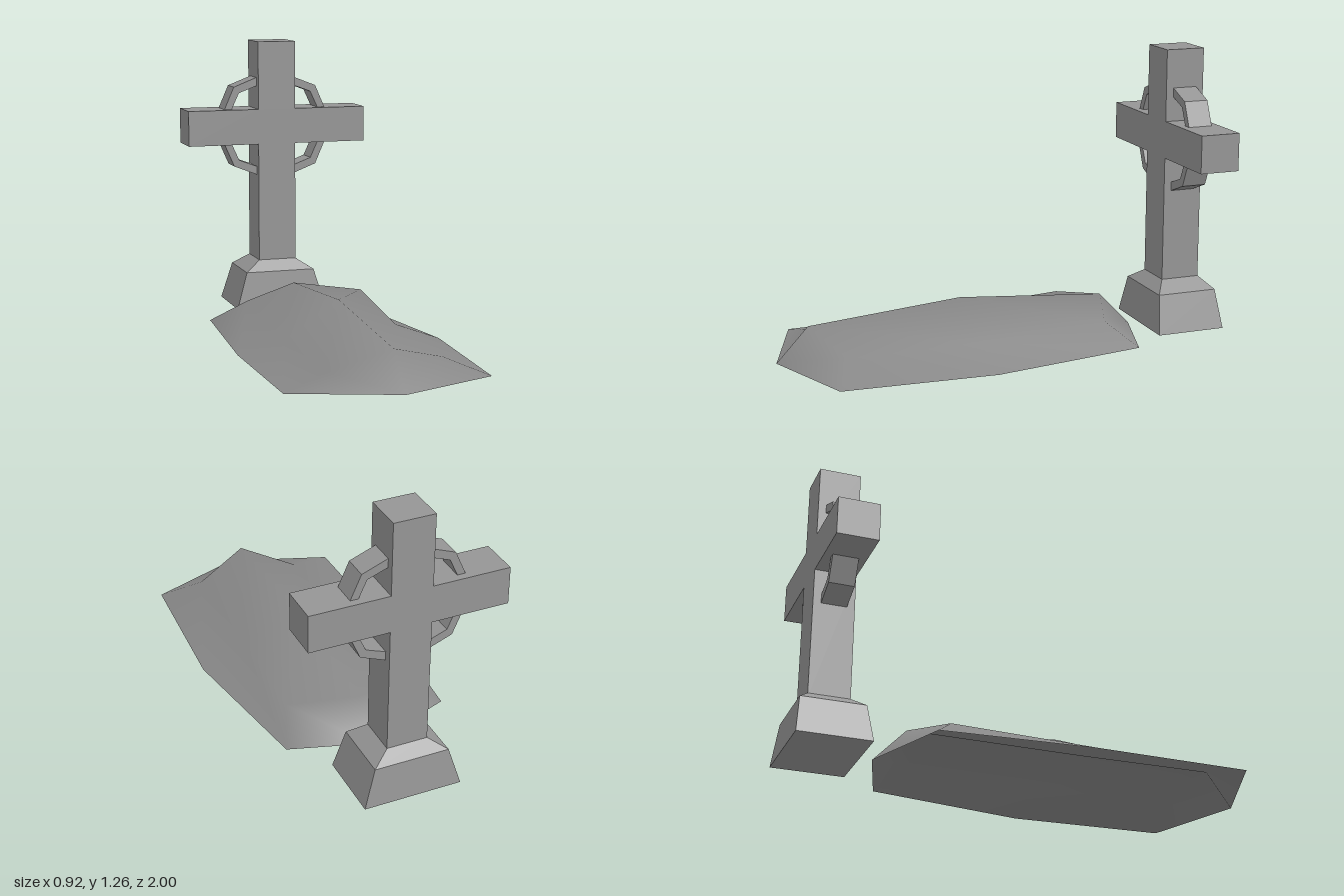
import * as THREE from 'three';

const CX = -0.008, CZ = -0.8425; // axis of the cross
const stone = new THREE.MeshStandardMaterial({ color: 0x959595 });
const earth = new THREE.MeshStandardMaterial({ color: 0x888888, side: THREE.DoubleSide });

function part(name, geometry, material) {
  const mesh = new THREE.Mesh(geometry, material);
  mesh.name = name;
  return mesh;
}

// Indexed surface from [x, y, z] points, smooth across shared points
function surface(points, index) {
  const geometry = new THREE.BufferGeometry();
  geometry.setAttribute('position', new THREE.Float32BufferAttribute(points.flat(), 3));
  geometry.setIndex(index);
  geometry.computeVertexNormals();
  return geometry;
}

// Upright slab centred on the cross plane
function slab(shape, depth) {
  const geometry = new THREE.ExtrudeGeometry(shape, { depth, bevelEnabled: false });
  geometry.translate(CX, 0, CZ - depth / 2);
  return geometry;
}

function octagon(rx, ry, cy) {
  return Array.from({ length: 8 }, (_, i) => new THREE.Vector2(
    rx * Math.cos(i * Math.PI / 4), cy + ry * Math.sin(i * Math.PI / 4)));
}

// Stepped plinth: rectangular levels of [y, half width, half depth], hard edges
function plinthGeometry() {
  const levels = [[0, 0.216, 0.1575], [0.17, 0.165, 0.138], [0.22, 0.088, 0.088]];
  const points = [], index = [];
  for (const [y, w, d] of levels) {
    points.push([CX - w, y, CZ + d], [CX + w, y, CZ + d], [CX + w, y, CZ - d], [CX - w, y, CZ - d]);
  }
  for (let i = 0; i < levels.length - 1; i++) {
    for (let j = 0; j < 4; j++) {
      const a = i * 4 + j, b = i * 4 + (j + 1) % 4;
      index.push(a, b, b + 4, a, b + 4, a + 4);
    }
  }
  index.push(8, 9, 10, 8, 10, 11, 0, 2, 1, 0, 3, 2);
  const geometry = surface(points, index).toNonIndexed();
  geometry.computeVertexNormals();
  return geometry;
}

// Open shell of earth: cross-sections from back to front, a pointed tip at each end
function moundGeometry() {
  const ground = 0.006;
  const sections = [
    [[-0.41, ground, -0.48], [-0.26, 0.107, -0.38], [CX, 0.155, -0.487], [0.285, 0.125, -0.38], [0.345, ground, -0.52]],
    [[-0.46, ground, 0.2], [-0.25, 0.05, 0.18], [CX, 0.21, 0.18], [0.25, 0.085, 0.18], [0.456, ground, 0.17]],
    [[-0.45, ground, 0.84], [-0.25, 0.055, 0.76], [CX, 0.155, 0.86], [0.24, 0.08, 0.76], [0.418, ground, 0.84]],
  ];
  const tips = [[CX, ground, -0.63], [CX, ground, 1]];
  const index = [];
  for (let i = 0; i < 2; i++) {
    for (let j = 0; j < 4; j++) {
      const a = i * 5 + j, c = a + 5;
      index.push(a, c, a + 1, c, c + 1, a + 1);
    }
  }
  for (let j = 0; j < 4; j++) {
    index.push(15, j, j + 1, 16, 11 + j, 10 + j);
  }
  return surface([...sections.flat(), ...tips], index);
}

export function createModel() {
  const group = new THREE.Group();
  group.name = 'grave';

  // Upright and arms in one outline
  const w = 0.09, left = 0.434, right = 0.427, low = 0.775, high = 0.94;
  const outline = new THREE.Shape([
    [-w, 0.2], [w, 0.2], [w, low], [left, low], [left, high], [w, high],
    [w, 1.258], [-w, 1.258], [-w, high], [-right, high], [-right, low], [-w, low],
  ].map(([x, y]) => new THREE.Vector2(x, y)));

  // Eight-sided ring through the crossing
  const ring = new THREE.Shape(octagon(0.283, 0.266, 0.857));
  ring.holes.push(new THREE.Path(octagon(0.249, 0.225, 0.857)));

  group.add(
    part('cross', slab(outline, 0.178), stone),
    part('ring', slab(ring, 0.11), stone),
    part('plinth', plinthGeometry(), stone),
    part('mound', moundGeometry(), earth),
  );
  return group;
}
